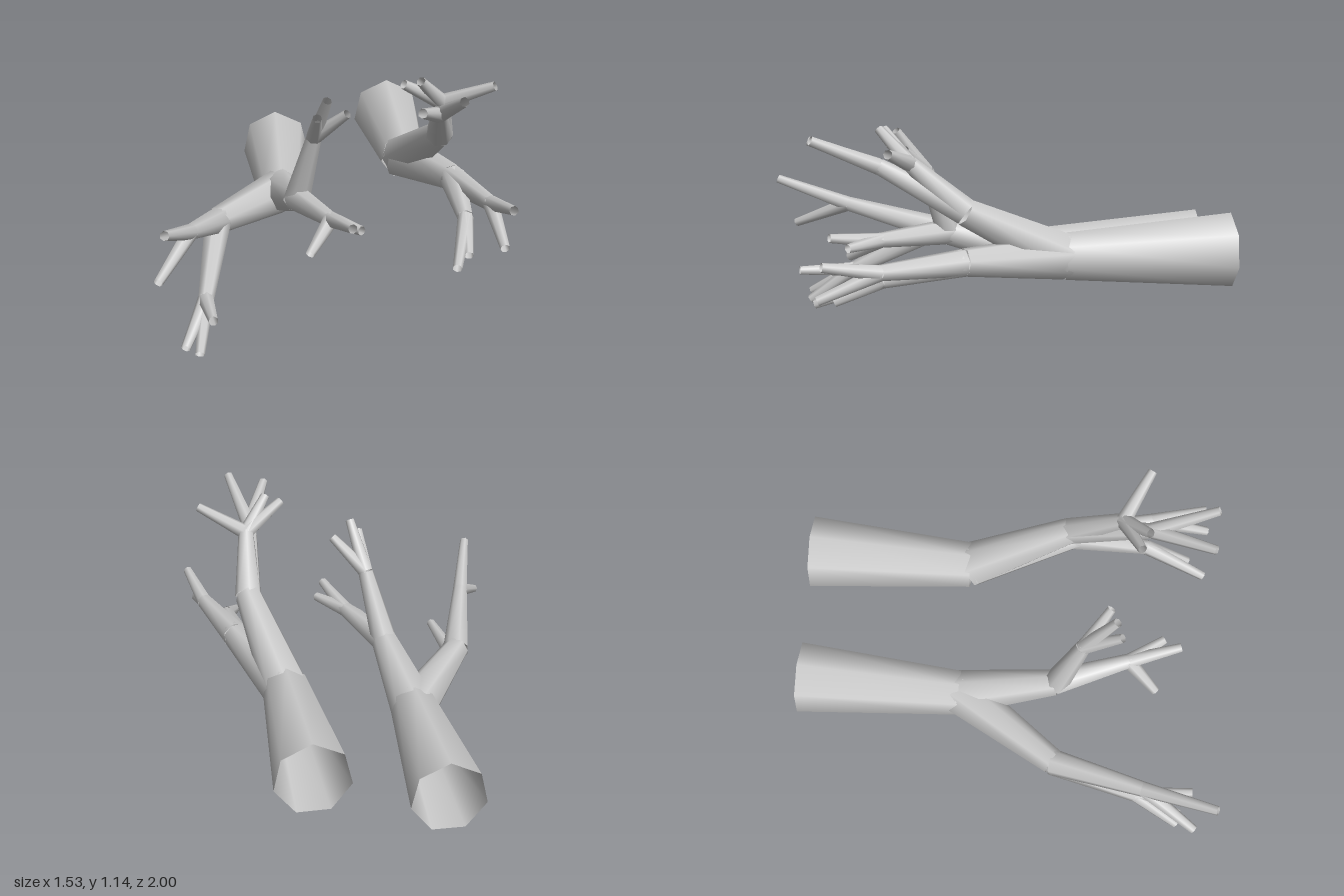
import * as THREE from 'three';

const SIDES = 7;
// Radius at each level: trunk root, trunk end, bough end, branch end, twig tip
const RADII = [0.17, 0.108, 0.062, 0.036, 0.021];
const NAMES = ['trunk', 'bough', 'branch', 'twig'];

// A node is [x, y, z, children]
const node = (x, y, z, ...children) => ({ p: new THREE.Vector3(x, y, z), children });

const RIGHT_LIMB = node(-0.18, 0.36, -1,
  node(-0.19, 0.365, -0.24,
    node(-0.5, 0.395, 0.23,
      node(-0.62, 0.505, 0.65, node(-0.72, 0.62, 0.985), node(-0.755, 0.38, 0.9)),
      node(-0.56, 0.185, 0.63, node(-0.53, 0.2, 0.9), node(-0.59, 0.025, 0.85), node(-0.65, 0.05, 0.84))),
    node(-0.14, 0.49, 0.21,
      node(-0.07, 0.81, 0.32, node(-0.02, 1.02, 0.46), node(-0.065, 0.95, 0.49), node(0.07, 0.95, 0.43)),
      node(-0.01, 0.505, 0.54, node(0.065, 0.55, 0.78), node(0.11, 0.51, 0.7), node(-0.11, 0.4, 0.68)))));

const LEFT_LIMB = node(0.4, 0.52, -1,
  node(0.4, 0.525, -0.24,
    node(0.505, 0.785, 0.22,
      node(0.48, 1.0, 0.45, node(0.3, 1.11, 0.54), node(0.37, 1.13, 0.57), node(0.69, 1.1, 0.56)),
      node(0.45, 0.985, 0.58, node(0.34, 1.08, 0.87), node(0.51, 1.125, 0.87))),
    node(0.57, 0.575, 0.23,
      node(0.68, 0.585, 0.6, node(0.735, 0.64, 0.85), node(0.7, 0.48, 0.87)),
      node(0.575, 0.515, 0.58, node(0.5, 0.395, 0.87), node(0.56, 0.42, 0.79)))));

// Open tapered tube between two points
function segment(a, b, r0, r1, material, name) {
  const dir = b.clone().sub(a);
  const geo = new THREE.CylinderGeometry(r1, r0, dir.length(), SIDES, 1, true, Math.PI);
  const mesh = new THREE.Mesh(geo, material);
  mesh.quaternion.setFromUnitVectors(new THREE.Vector3(0, 1, 0), dir.normalize());
  mesh.position.copy(a).add(b).multiplyScalar(0.5);
  mesh.name = name;
  return mesh;
}

// Add every segment that grows from this node
function grow(group, from, level, material) {
  for (const to of from.children) {
    group.add(segment(from.p, to.p, RADII[level], RADII[level + 1], material, NAMES[level]));
    grow(group, to, level + 1, material);
  }
}

export function createModel() {
  const material = new THREE.MeshStandardMaterial({ color: 0xcccccc, side: THREE.DoubleSide });
  const model = new THREE.Group();
  model.name = 'branchingLimbs';
  for (const [name, root] of [['rightLimb', RIGHT_LIMB], ['leftLimb', LEFT_LIMB]]) {
    const limb = new THREE.Group();
    limb.name = name;
    grow(limb, root, 0, material);
    model.add(limb);
  }
  return model;
}
